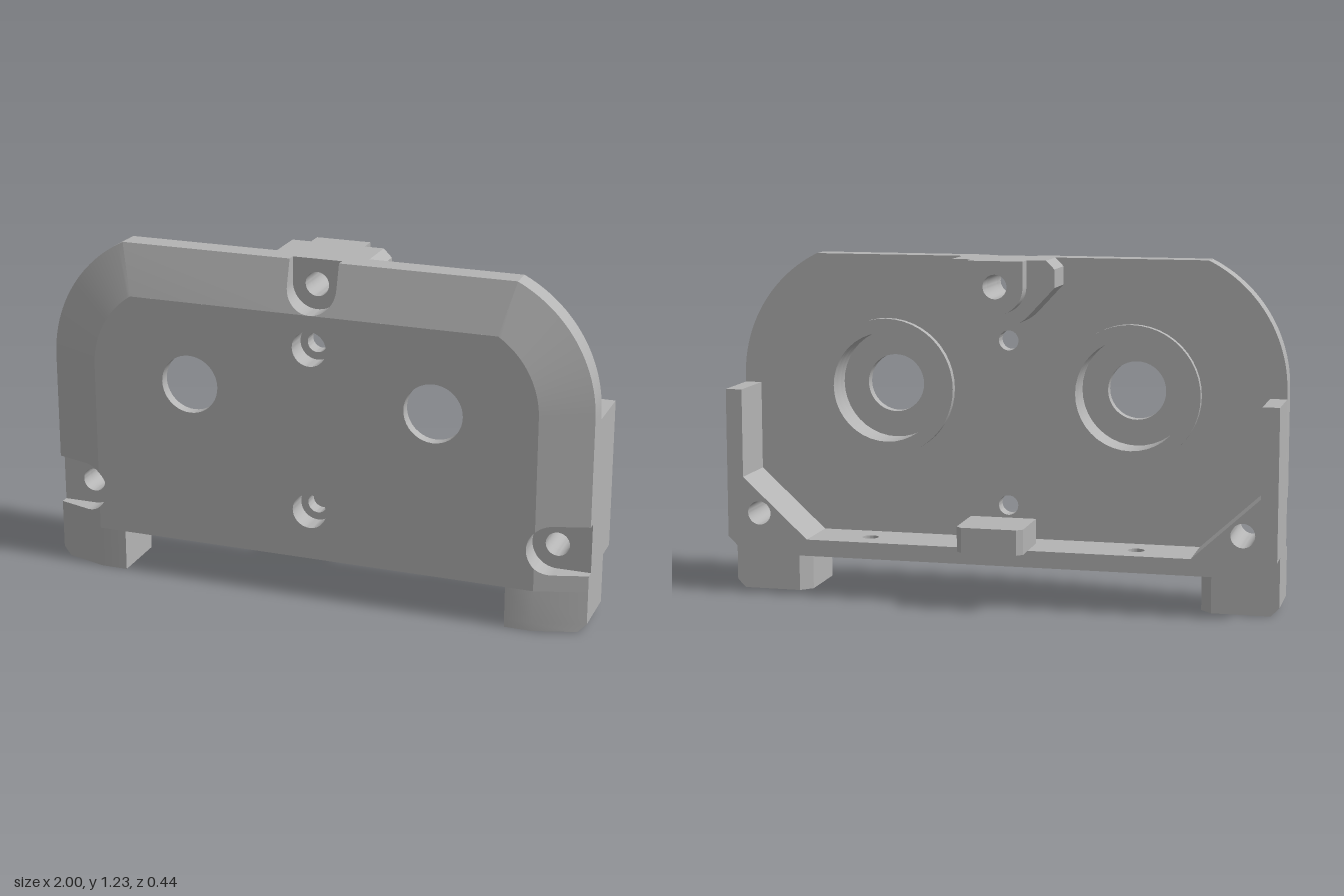
import * as THREE from 'three';
import { mergeGeometries, toCreasedNormals } from 'three/addons/utils/BufferGeometryUtils.js';

const V = (x, y) => new THREE.Vector2(x, y);
const pts = (list) => list.map(([x, y]) => V(x, y));
const mirror = (points) => points.map((p) => V(-p.x, p.y)).reverse();
const both = (points) => [...points, ...mirror(points)];

// Points along an arc, angles in radians
function arc(cx, cy, r, a0, a1, n = 16) {
  return Array.from({ length: n + 1 }, (_, i) => {
    const a = a0 + ((a1 - a0) * i) / n;
    return V(cx + r * Math.cos(a), cy + r * Math.sin(a));
  });
}

// Extrude an outline from z0 to z1; holes are [x, y, radius]
function slab(points, z0, z1, holes = []) {
  const shape = new THREE.Shape(points);
  for (const [x, y, r] of holes) {
    shape.holes.push(new THREE.Path(arc(x, y, r, 0, Math.PI * 2, 40).slice(0, -1)));
  }
  const geo = new THREE.ExtrudeGeometry(shape, { depth: z1 - z0, bevelEnabled: false });
  return geo.translate(0, 0, z0);
}

// Same, but the outline is given in (x, -z) and extruded upwards
function slabUp(points, y0, y1, holes) {
  return slab(points, y0, y1, holes).rotateX(-Math.PI / 2);
}

// Height of the front surface, sloping down towards the rim
const CX = 0.5, CY = 0.78, R = 0.5, RI = 0.32, TOP = 1.23;
function frontZ(x, y) {
  const ax = Math.abs(x);
  const side = ax > CX && y > CY ? R - Math.hypot(ax - CX, y - CY) : 1 - ax;
  const d = Math.max(0, Math.min(side, TOP - y));
  return 0.165 + 0.055 * Math.min(1, d / 0.18);
}

const SEAT = 0.135; // floor of the screw recesses
function rimPiece(points) {
  const geo = slab(points, SEAT, 0.2);
  const p = geo.attributes.position;
  for (let i = 0; i < p.count; i++) {
    if (p.getZ(i) > 0.17) p.setZ(i, frontZ(p.getX(i), p.getY(i)));
  }
  return geo;
}

export function createModel() {
  const model = new THREE.Group();
  const grey = new THREE.MeshStandardMaterial({ color: 0xb4b4b4 });
  grey.name = 'light grey';

  const add = (name, ...geos) => {
    const mesh = new THREE.Mesh(toCreasedNormals(mergeGeometries(geos), 0.4), grey);
    mesh.name = name;
    model.add(mesh);
  };

  const outerEnd = Math.asin((TOP - CY) / R);
  const innerEnd = Math.asin((1.05 - CY) / RI);
  const pair = (x, y, r) => [[x, y, r], [-x, y, r]];
  const screws = (r) => [[0, 0.93, r], [0, 0.33, r]];

  // Back layer of the plate
  const outline = both([V(1, 0.15), ...arc(CX, CY, R, 0, outerEnd, 24)]);
  add('backPlate', slab(outline, 0.08, SEAT, [
    ...pair(0.45, 0.75, 0.2), ...screws(0.036), ...pair(0.88, 0.3, 0.043), [0, 1.14, 0.043],
  ]));

  // Flat middle of the front, notched by the side recesses
  const sa = Math.acos(-0.06 / 0.09);
  const flat = both([
    V(0.82, 0.15), ...arc(0.88, 0.3, 0.09, 2 * Math.PI - sa, sa),
    ...arc(CX, CY, RI, 0, innerEnd, 24),
  ]);
  add('frontPlate',
    slab(flat, SEAT, 0.18, [...pair(0.45, 0.75, 0.2), ...screws(0.063)]),
    slab(flat, 0.18, 0.22, [...pair(0.45, 0.75, 0.106), ...screws(0.063)]));

  // Sloping rim: top, rounded corners and sides, with the recesses left open
  const rim = [
    [...arc(0, 1.14, 0.09, -Math.PI / 2, 0), ...pts([[0.09, TOP], [0.72, TOP], [0.672, 1.05]])],
    [...pts([[0.82, 0.15], [1, 0.15], [1, 0.21]]), ...arc(0.88, 0.3, 0.09, 1.5 * Math.PI, 2 * Math.PI - sa, 8)],
    [...pts([[0.82, CY], [1, CY], [1, 0.39]]), ...arc(0.88, 0.3, 0.09, Math.PI / 2, sa, 8)],
  ];
  const outer = arc(CX, CY, R, 0, outerEnd, 24);
  const inner = arc(CX, CY, RI, 0, innerEnd, 24);
  for (let i = 0; i < 24; i++) rim.push([inner[i], outer[i], outer[i + 1], inner[i + 1]]);
  add('slopedRim', ...rim.flatMap((p) => [rimPiece(p), rimPiece(mirror(p))]));

  // Raised collars behind the two large openings
  for (const s of [1, -1]) {
    add(s > 0 ? 'leftCollar' : 'rightCollar',
      slab(arc(s * 0.45, 0.75, 0.25, 0, Math.PI * 2, 48).slice(0, -1), 0.05, 0.08, [[s * 0.45, 0.75, 0.2]]));
  }

  // Side walls with sloping gussets
  const wallTop = [[1, 0.75], [0.94, 0.75], [0.94, 0.43], [0.7, 0.21], [0.7, 0.15]];
  const wallFront = pts([[1, 0.15], ...wallTop]);
  const wallBack = pts([[0.94, 0.15], [1, 0.21], ...wallTop]);
  for (const s of [1, -1]) {
    const side = (p) => (s > 0 ? p : mirror(p));
    const hole = [[s * 0.88, 0.3, 0.043]];
    add(s > 0 ? 'leftWall' : 'rightWall',
      slab(side(wallFront), -0.04, 0.08, hole), slab(side(wallBack), -0.13, -0.04, hole));

    // Foot with a bored underside and a bevelled lower outer edge
    const plan = side(pts([[0.72, -0.22], [0.82, -0.22], [1, -0.165], [1, 0.04], [0.76, 0.04], [0.72, 0]]));
    const bore = [[s * 0.86, -0.09, 0.07]];
    const toe = slabUp(plan, 0, 0.03, bore);
    const p = toe.attributes.position;
    for (let i = 0; i < p.count; i++) {
      if (p.getY(i) < 0.01 && Math.abs(p.getX(i)) > 0.98) {
        p.setX(i, s * 0.97);
        if (p.getZ(i) > 0.1) p.setZ(i, 0.174);
      }
    }
    add(s > 0 ? 'leftFoot' : 'rightFoot', slabUp(plan, 0.03, 0.15, bore), toe);
  }

  // Floor ledge and the tongue on it
  add('floorLedge', slabUp(pts([[-0.7, -0.08], [0.7, -0.08], [0.7, 0.13], [-0.7, 0.13]]),
    0.15, 0.21, pair(0.49, 0.03, 0.03)));
  add('tongue', slabUp(both(pts([[0.12, 0], [0.12, 0.2], [0.1, 0.22]])), 0.21, 0.3));

  // Top lug: wide block with a narrower boss behind it
  const lugHole = [[0, 1.14, 0.043]];
  const lug = both([
    ...arc(0, 1.14, 0.15, -Math.PI / 2, -Math.PI / 4, 10).slice(1),
    ...pts([[0.2, 1.135], [0.2, 1.2], [0.17, TOP]]),
  ]);
  add('topLug', slab(lug, -0.07, 0.08, lugHole));
  const boss = both([...arc(0, 1.14, 0.1, -Math.PI / 2, 0).slice(1), V(0.1, TOP)]);
  add('lugBoss', slab(boss, -0.13, -0.07, lugHole));

  return model;
}
